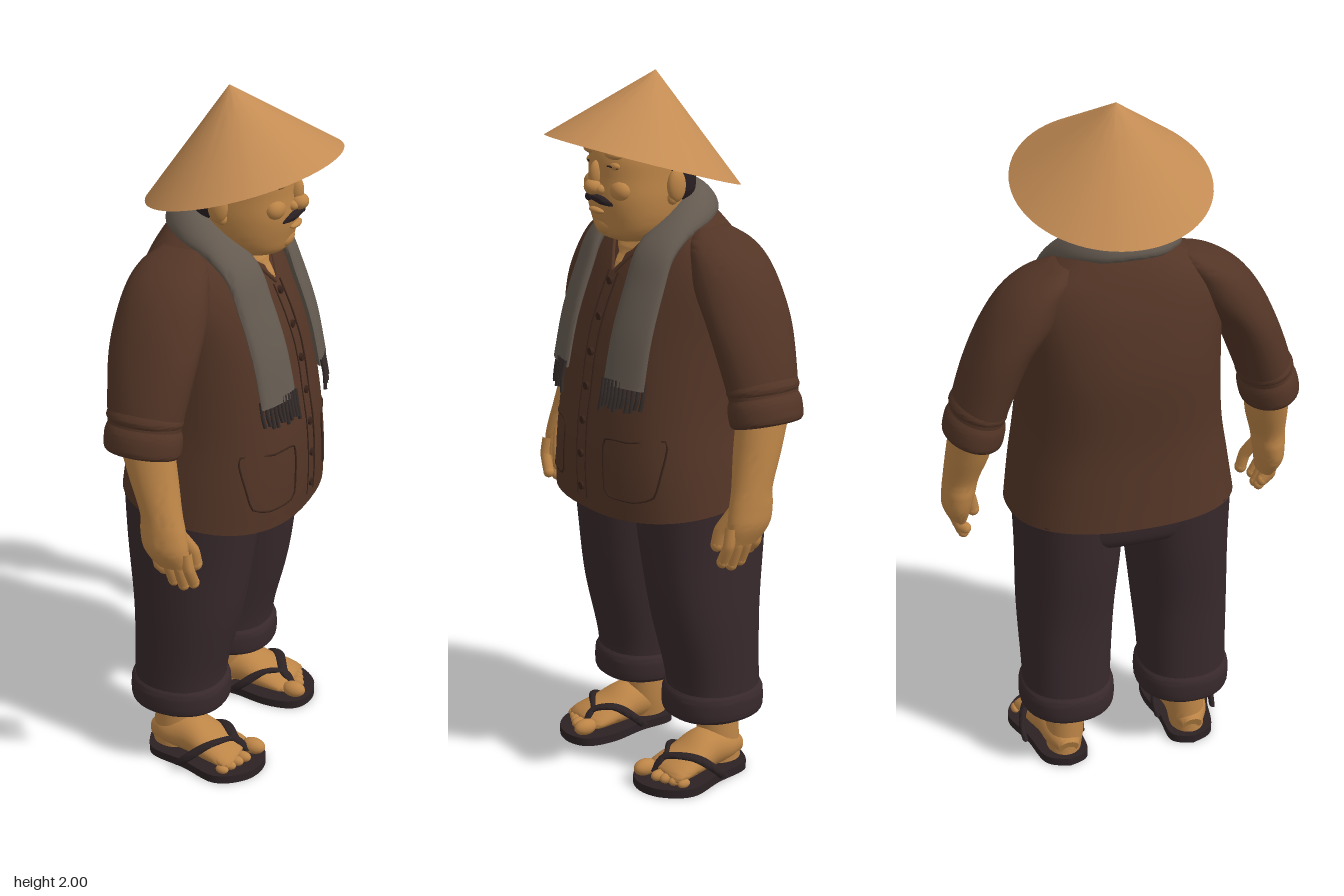
import * as THREE from 'three';
import { toCreasedNormals } from 'three/addons/utils/BufferGeometryUtils.js';

const mat = (name, color, side = THREE.FrontSide) => {
  const m = new THREE.MeshStandardMaterial({ color, side });
  m.name = name;
  return m;
};
const M = {
  straw: mat('straw', 0xc48c54, THREE.DoubleSide),
  skin: mat('skin', 0xbd8547),
  shirt: mat('brown shirt', 0x533526),
  trim: mat('dark shirt trim', 0x38231a),
  pants: mat('dark trousers', 0x38292c),
  scarf: mat('grey scarf', 0x645a50),
  fringe: mat('scarf fringe', 0x342c2a),
  hair: mat('black hair', 0x2a2024),
  sandal: mat('sandal rubber', 0x2c2224),
};
const V = (x, y, z) => new THREE.Vector3(x, y, z);

// Closed surface through rings of points, capped at both ends if asked
function skin(rings, caps = true) {
  const n = rings[0].length, last = rings.length - 1, pos = [], idx = [];
  rings.forEach(r => r.forEach(p => pos.push(p.x, p.y, p.z)));
  for (let i = 0; i < last; i++) for (let j = 0; j < n; j++) {
    const a = i * n + j, b = i * n + (j + 1) % n;
    idx.push(a, b, b + n, a, b + n, a + n);
  }
  if (caps) [0, last].forEach(i => {
    const c = rings[i].reduce((s, p) => s.add(p), V(0, 0, 0)).divideScalar(n), k = pos.length / 3;
    pos.push(c.x, c.y, c.z);
    for (let j = 0; j < n; j++) {
      const a = i * n + j, b = i * n + (j + 1) % n;
      i ? idx.push(k, a, b) : idx.push(k, b, a);
    }
  });
  const g = new THREE.BufferGeometry();
  g.setAttribute('position', new THREE.Float32BufferAttribute(pos, 3));
  g.setIndex(idx);
  return toCreasedNormals(g, 0.95);
}

// Smooth interpolation between rows of numbers
function smooth(rows, steps = 6) {
  const out = [], at = i => rows[Math.max(0, Math.min(rows.length - 1, i))];
  for (let i = 0; i < rows.length - 1; i++) for (let k = 0; k < steps; k++) {
    const t = k / steps;
    out.push(rows[i].map((b, q) => {
      const a = at(i - 1)[q], c = at(i + 1)[q], d = at(i + 2)[q];
      return 0.5 * (2 * b + (c - a) * t + (2 * a - 5 * b + 4 * c - d) * t * t + (3 * b - a - 3 * c + d) * t ** 3);
    }));
  }
  out.push(rows[rows.length - 1]);
  return out;
}

// Upright loft; rows are [x, y, z, halfWidth, halfDepth, tiltX, tiltZ], lowest first
function loft(rows, { s = 1, n = 2, seg = 36, caps = true } = {}) {
  const pw = v => Math.sign(v) * Math.abs(v) ** (2 / n);
  const full = rows.map(r => [r[0] * s, r[1], r[2], r[3], r[4], (r[5] || 0) * s, r[6] || 0]);
  return skin(smooth(full).map(([x, y, z, a, b, tx, tz]) => Array.from({ length: seg }, (_, j) => {
    const t = j / seg * Math.PI * 2, dx = a * pw(Math.sin(t)), dz = b * pw(Math.cos(t));
    return V(x + dx, y + tx * dx + tz * dz, z + dz);
  })), caps);
}

// Flattened strip along a path; rows are [x, y, z, wx, wy, wz, thickness]
function strip(rows, seg = 14) {
  const d = smooth(rows), c = d.map(r => V(r[0], r[1], r[2]));
  return skin(d.map((r, i) => {
    const t = c[Math.min(i + 1, c.length - 1)].clone().sub(c[Math.max(i - 1, 0)]).normalize();
    const w = V(r[3], r[4], r[5]), n = t.cross(w).normalize().multiplyScalar(r[6]);
    return Array.from({ length: seg }, (_, j) => {
      const a = j / seg * Math.PI * 2;
      return c[i].clone().addScaledVector(w, Math.cos(a)).addScaledVector(n, Math.sin(a));
    });
  }));
}
const tube = (pts, r, closed = false) =>
  new THREE.TubeGeometry(new THREE.CatmullRomCurve3(pts, closed, 'catmullrom', 0.3), 32, r, 8, closed);
const ball = (x, y, z, a, b, c) => new THREE.SphereGeometry(1, 24, 16).scale(a, b, c).translate(x, y, z);

const SHIRT = [
  [0, 0.835, -0.03, 0.322, 0.26, 0, -0.1], [0, 0.95, -0.022, 0.306, 0.256, 0, -0.05], [0, 1.1, -0.022, 0.285, 0.244],
  [0, 1.3, -0.04, 0.275, 0.226], [0, 1.45, -0.055, 0.275, 0.185], [0, 1.54, -0.065, 0.245, 0.145],
  [0, 1.6, -0.07, 0.17, 0.11], [0, 1.635, -0.07, 0.11, 0.085]];
const SHIRT_ROWS = smooth(SHIRT.map(r => [...r, 0, 0].slice(0, 7)), 10);
// Depth of the shirt front at a given place
function shirtZ(x, y) {
  const r = SHIRT_ROWS.reduce((p, q) => Math.abs(q[1] - y) < Math.abs(p[1] - y) ? q : p);
  return r[2] + r[4] * Math.max(0, 1 - Math.abs(x / r[3]) ** 2.4) ** (1 / 2.4);
}
const onShirt = (x, y, lift = 0.001) => V(x, y, shirtZ(x, y) + lift);

export function createModel() {
  const model = new THREE.Group(), body = new THREE.Group();
  body.name = 'man';
  body.rotation.y = Math.PI / 2;
  model.add(body);
  const add = (name, geo, m) => {
    const mesh = new THREE.Mesh(geo, m);
    mesh.name = name;
    body.add(mesh);
    return mesh;
  };

  // Hat
  add('conicalHat', loft([[0, 1.76, 0.03, 0.272, 0.262, 0, 0.31], [0, 1.998, -0.012, 0.001, 0.001, 0, 0.31]], { seg: 72, caps: false }), M.straw);

  // Head and neck
  add('neck', loft([[0, 1.45, -0.04, 0.09, 0.08], [0, 1.56, -0.01, 0.09, 0.09], [0, 1.66, 0.02, 0.085, 0.09]]), M.skin);
  add('head', loft([[0, 1.55, 0.065, 0.05, 0.05], [0, 1.57, 0.06, 0.09, 0.095], [0, 1.61, 0.05, 0.113, 0.12],
    [0, 1.67, 0.045, 0.122, 0.138], [0, 1.73, 0.042, 0.12, 0.138], [0, 1.79, 0.038, 0.117, 0.138],
    [0, 1.85, 0.03, 0.1, 0.115], [0, 1.89, 0.02, 0.05, 0.06]], { n: 2.2 }), M.skin);
  add('hair', loft([[0, 1.64, -0.03, 0.085, 0.06], [0, 1.68, -0.028, 0.118, 0.08], [0, 1.76, -0.015, 0.128, 0.092],
    [0, 1.83, -0.005, 0.118, 0.1], [0, 1.87, 0.01, 0.075, 0.07]]), M.hair);
  add('noseBridge', ball(0, 1.735, 0.178, 0.018, 0.04, 0.022), M.skin);
  add('noseTip', ball(0, 1.705, 0.188, 0.026, 0.022, 0.026), M.skin);
  add('lowerLip', ball(0, 1.64, 0.178, 0.032, 0.009, 0.014), M.skin);
  add('chin', ball(0, 1.598, 0.14, 0.045, 0.03, 0.032), M.skin);
  add('moustache', strip([[-0.068, 1.658, 0.153, 0, 0.003, 0, 0.004], [-0.035, 1.672, 0.181, 0, 0.012, 0, 0.01],
    [0, 1.678, 0.19, 0, 0.009, 0, 0.009], [0.035, 1.672, 0.181, 0, 0.012, 0, 0.01], [0.068, 1.658, 0.153, 0, 0.003, 0, 0.004]]), M.hair);
  for (const s of [1, -1]) {
    add('cheek', ball(s * 0.06, 1.7, 0.142, 0.038, 0.032, 0.03), M.skin);
    add('nostrilWing', ball(s * 0.023, 1.7, 0.178, 0.014, 0.014, 0.016), M.skin);
    add('brow', ball(s * 0.05, 1.795, 0.158, 0.036, 0.012, 0.017), M.skin);
    add('eyelid', ball(s * 0.05, 1.766, 0.154, 0.026, 0.014, 0.016), M.skin);
    add('eyeLine', tube([V(s * 0.027, 1.762, 0.168), V(s * 0.05, 1.766, 0.171), V(s * 0.073, 1.761, 0.158)], 0.0025), M.hair);
    add('ear', ball(s * 0.134, 1.71, 0.012, 0.018, 0.045, 0.028).rotateZ(0), M.skin);
    add('earlobe', ball(s * 0.128, 1.675, 0.02, 0.013, 0.017, 0.015), M.skin);
  }

  // Shirt body with open neck, placket and buttons
  add('shirtBody', loft(SHIRT, { n: 2.4, seg: 56 }), M.shirt);
  const neckline = [];
  for (let i = 0; i <= 8; i++) {
    const y = 1.47 + i * 0.0145, w = 0.004 + i * 0.0105;
    neckline.push([0, y, shirtZ(0, y) - 0.012, w, 0.016]);
  }
  add('openNeck', loft(neckline, { seg: 20 }), M.skin);
  const placket = x => Array.from({ length: 9 }, (_, i) => onShirt(x, 0.84 + i * 0.078));
  add('placketEdge', tube(placket(0.022), 0.0025), M.trim);
  add('placketFold', tube(placket(-0.022), 0.002), M.trim);
  for (let i = 0; i < 7; i++) {
    const y = 0.87 + i * 0.095;
    const p = onShirt(0, y);
    add('button', new THREE.CylinderGeometry(0.011, 0.011, 0.012, 16).rotateX(Math.PI / 2).translate(p.x, p.y, p.z), M.trim);
  }

  for (const s of [1, -1]) {
    add('collarEdge', tube([[0.004, 1.465], [0.04, 1.51], [0.075, 1.555], [0.1, 1.6]].map(([x, y]) => onShirt(s * x, y)), 0.006), M.shirt);
    const pocket = [[0.1, 1.03], [0.1, 0.95], [0.105, 0.885], [0.13, 0.87], [0.2, 0.87], [0.245, 0.89], [0.255, 0.95], [0.255, 1.045], [0.18, 1.035]];
    add('pocketSeam', tube(pocket.map(([x, y]) => onShirt(s * x, y)), 0.0028, true), M.trim);

    // Sleeve and rolled cuff
    add('sleeve', loft([[0.425, 1.13, -0.08, 0.07, 0.095, 0.2], [0.392, 1.24, -0.08, 0.076, 0.11, 0.2], [0.345, 1.36, -0.08, 0.085, 0.125],
      [0.29, 1.45, -0.08, 0.098, 0.125], [0.25, 1.52, -0.08, 0.088, 0.112], [0.21, 1.565, -0.08, 0.068, 0.09], [0.17, 1.595, -0.08, 0.03, 0.05]], { s }), M.shirt);
    add('sleeveCuff', loft([[0.428, 1.108, -0.08, 0.072, 0.1, 0.24], [0.425, 1.12, -0.08, 0.08, 0.107, 0.24],
      [0.416, 1.16, -0.08, 0.08, 0.108, 0.24], [0.41, 1.185, -0.08, 0.07, 0.1, 0.24]], { s }), M.shirt);
    add('sleeveFold', loft([[0.409, 1.18, -0.08, 0.068, 0.095, 0.24], [0.407, 1.2, -0.08, 0.077, 0.107, 0.24], [0.4, 1.225, -0.08, 0.07, 0.1, 0.24]], { s }), M.shirt);

    // Forearm and hand
    add('forearm', loft([[0.455, 0.8, 0.015, 0.025, 0.05], [0.46, 0.85, 0.0, 0.04, 0.064], [0.455, 0.9, -0.01, 0.046, 0.064],
      [0.448, 0.95, -0.018, 0.05, 0.058], [0.432, 1.04, -0.045, 0.061, 0.066], [0.422, 1.14, -0.07, 0.062, 0.075]], { s, seg: 28 }), M.skin);
    for (let i = 0; i < 4; i++) {
      const z = -0.028 + i * 0.029, low = [0.775, 0.745, 0.737, 0.75][i];
      add('finger', tube([V(s * 0.462, 0.85, z), V(s * 0.462, 0.8, z + 0.008), V(s * 0.44, low, z + 0.012)], 0.016), M.skin);
      add('fingertip', ball(s * 0.44, low, z + 0.012, 0.016, 0.017, 0.016), M.skin);
    }
    add('thumb', tube([V(s * 0.44, 0.89, 0.03), V(s * 0.41, 0.83, 0.055), V(s * 0.4, 0.785, 0.06)], 0.018), M.skin);
    add('thumbTip', ball(s * 0.4, 0.785, 0.06, 0.018, 0.02, 0.018), M.skin);

    // Trouser leg and turned-up cuff
    add('trouserLeg', loft([[0.175, 0.2, -0.09, 0.128, 0.132], [0.175, 0.3, -0.088, 0.127, 0.132], [0.17, 0.5, -0.065, 0.137, 0.157],
      [0.159, 0.7, -0.06, 0.146, 0.182], [0.155, 0.86, -0.055, 0.155, 0.195]], { s, n: 2.2 }), M.pants);
    add('trouserCuff', loft([[0.175, 0.186, -0.09, 0.125, 0.132], [0.175, 0.2, -0.09, 0.136, 0.142],
      [0.175, 0.25, -0.09, 0.136, 0.142], [0.175, 0.27, -0.09, 0.126, 0.132]], { s, n: 2.2 }), M.pants);

    // Foot with toes
    add('ankle', loft([[0.19, 0.03, -0.11, 0.05, 0.06], [0.185, 0.1, -0.105, 0.056, 0.062], [0.18, 0.24, -0.1, 0.057, 0.062]], { s }), M.skin);
    add('foot', strip([[0.19, 0.055, -0.168, 0.03, 0, 0, 0.026], [0.192, 0.07, -0.12, 0.056, 0, 0, 0.048], [0.197, 0.077, -0.05, 0.062, 0, 0, 0.06],
      [0.204, 0.062, 0.02, 0.075, 0, 0, 0.042], [0.21, 0.048, 0.085, 0.08, 0, 0, 0.026], [0.21, 0.04, 0.105, 0.068, 0, 0, 0.016]]
      .map(r => [r[0] * s, ...r.slice(1)]), 24), M.skin);
    for (let i = 0; i < 5; i++) {
      const r = i ? 0.017 - i * 0.001 : 0.024;
      add('toe', ball(s * (i ? 0.183 + i * 0.026 : 0.158), 0.022 + r, 0.13 - i * 0.011, r, r, r * 1.5), M.skin);
    }

    // Thong sandal
    const sole = new THREE.Shape();
    sole.setFromPoints(new THREE.SplineCurve([[0.19, 0.185], [0.13, 0.155], [0.125, 0.05], [0.107, -0.06], [0.125, -0.145], [0.19, -0.175],
      [0.265, -0.15], [0.313, -0.07], [0.28, 0.04], [0.255, 0.15], [0.19, 0.185]].map(([x, y]) => new THREE.Vector2(x * s, y))).getPoints(60));
    add('sandalSole', toCreasedNormals(new THREE.ExtrudeGeometry(sole, { depth: 0.025, bevelEnabled: false }).rotateX(-Math.PI / 2), 0.7), M.sandal);
    for (const [x, mid] of [[0.118, 0.145], [0.292, 0.262]]) add('sandalStrap', strip([[s * 0.182, 0.04, 0.12, 0.006, 0, 0.006, 0.006],
      [s * 0.188, 0.078, 0.085, 0.01, 0, 0.01, 0.008], [s * mid, 0.09, 0.035, 0.004, 0, 0.018, 0.009],
      [s * x, 0.055, -0.015, 0, 0, 0.018, 0.009], [s * x, 0.02, -0.05, 0, 0, 0.015, 0.008]]), M.sandal);

    // Scarf fringe
    for (let i = 0; i < 11; i++) {
      const x = 0.097 + i * 0.0115, z = shirtZ(x, 1.17) + 0.02, low = 1.115 + 0.018 * Math.abs(Math.sin(i * 2.3));
      add('fringeStrand', tube([V(s * x, 1.205, z), V(s * (x + 0.003), 1.16, z + 0.008), V(s * (x + 0.002 * (i % 3 - 1)), low, z + 0.014)], 0.0055), M.fringe);
    }
  }
  add('trouserSeat', loft([[0, 0.755, -0.06, 0.2, 0.14], [0, 0.79, -0.057, 0.295, 0.185], [0, 0.88, -0.055, 0.31, 0.2]], { n: 2.6 }), M.pants);

  // Scarf around the neck, one end down each side of the chest
  const half = [
    [0.156, 1.185, shirtZ(0.15, 1.185) + 0.012, 0.065, 0, -0.022, 0.014], [0.153, 1.32, shirtZ(0.15, 1.32) + 0.012, 0.063, 0, -0.022, 0.016],
    [0.148, 1.45, shirtZ(0.148, 1.45) + 0.014, 0.06, 0, -0.022, 0.018], [0.143, 1.54, shirtZ(0.14, 1.54) + 0.022, 0.056, -0.012, -0.018, 0.02],
    [0.135, 1.605, 0.005, 0.05, -0.028, 0, 0.024], [0.115, 1.64, -0.07, 0.04, -0.036, -0.015, 0.026], [0.065, 1.655, -0.125, 0.022, -0.038, -0.03, 0.026]];
  const back = [0, 1.66, -0.14, 0, -0.038, -0.035, 0.026];
  const other = half.map(r => [-r[0], r[1], r[2], -r[3], ...r.slice(4)]).reverse();
  add('scarf', strip([...half, back, ...other], 20), M.scarf);

  return model;
}
